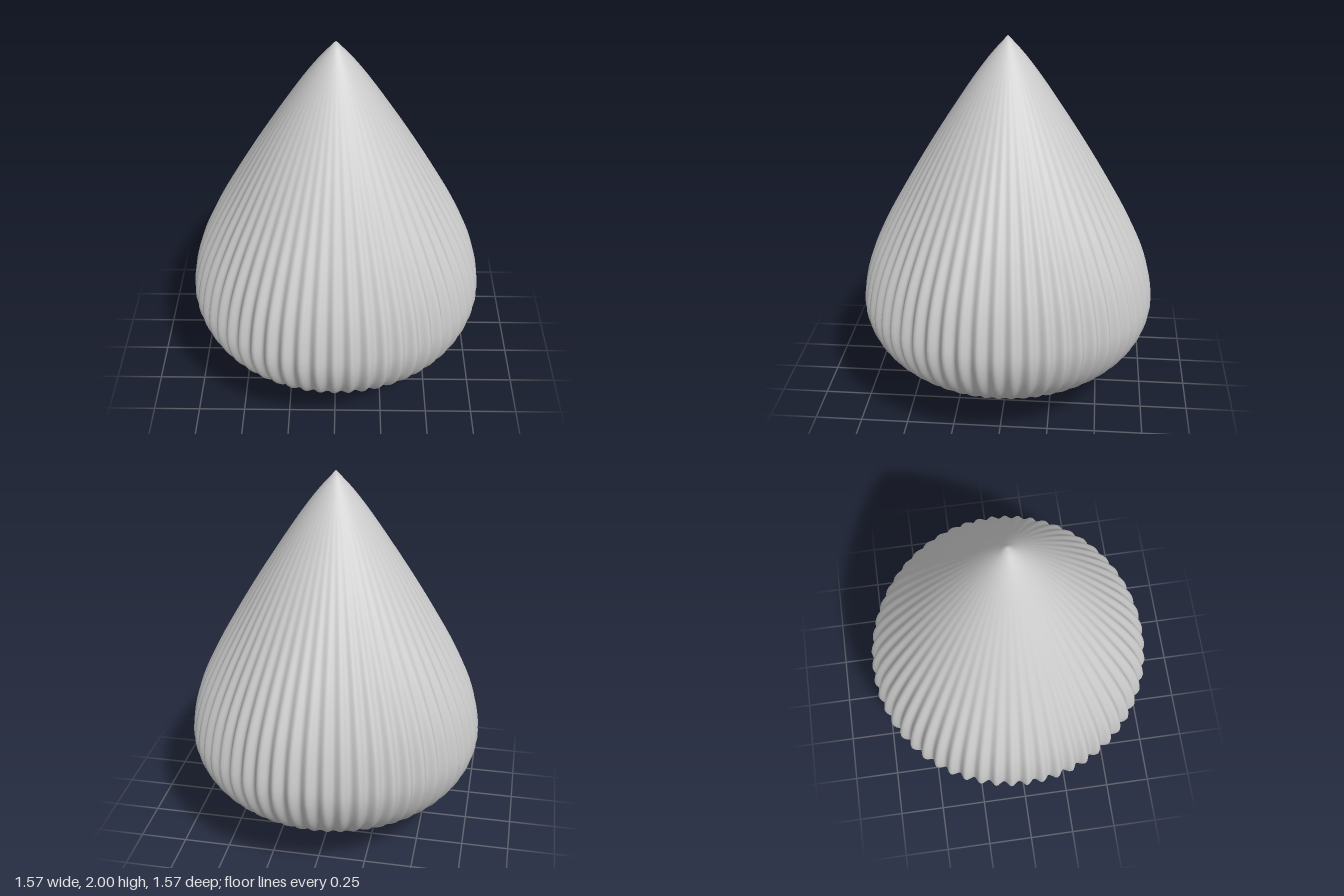
import * as THREE from 'three';

const RIBS = 56;
const SEGMENTS = RIBS * 8;
const ROWS = 56;

// Outline over the rib crests: [radius, height], bottom to top
const PROFILE = [
  [0, 0.005], [0.14, 0.05], [0.29, 0.1], [0.53, 0.2], [0.67, 0.3], [0.745, 0.4], [0.785, 0.53],
  [0.775, 0.66], [0.735, 0.81], [0.65, 1.0], [0.54, 1.2], [0.422, 1.4], [0.296, 1.6],
  [0.163, 1.8], [0.08, 1.91], [0, 2],
];

// Fluted surface of revolution; the flutes fade out towards both tips
function flutedGeometry() {
  const curve = new THREE.CatmullRomCurve3(PROFILE.map(([r, y]) => new THREE.Vector3(r, y, 0)), false, 'centripetal');
  const outline = curve.getSpacedPoints(ROWS);
  const positions = [0, outline[0].y, 0];
  for (let i = 1; i < ROWS; i++) {
    const { x: r, y } = outline[i];
    const depth = 0.015 * Math.pow(r / 0.785, 3);
    for (let j = 0; j < SEGMENTS; j++) {
      const a = (j / SEGMENTS) * Math.PI * 2;
      const radius = r - depth * (1 - Math.cos(a * RIBS));
      positions.push(radius * Math.sin(a), y, radius * Math.cos(a));
    }
  }
  positions.push(0, outline[ROWS].y, 0);

  const top = positions.length / 3 - 1;
  const at = (row, j) => 1 + (row - 1) * SEGMENTS + (j % SEGMENTS);
  const index = [];
  for (let j = 0; j < SEGMENTS; j++) {
    index.push(0, at(1, j + 1), at(1, j));
    for (let i = 1; i < ROWS - 1; i++) {
      const a = at(i, j), b = at(i, j + 1), c = at(i + 1, j + 1), d = at(i + 1, j);
      index.push(a, b, c, a, c, d);
    }
    index.push(at(ROWS - 1, j), at(ROWS - 1, j + 1), top);
  }

  const geometry = new THREE.BufferGeometry();
  geometry.setAttribute('position', new THREE.Float32BufferAttribute(positions, 3));
  geometry.setIndex(index);
  geometry.computeVertexNormals();
  return geometry;
}

export function createModel() {
  const group = new THREE.Group();
  group.name = 'flutedDrop';
  const body = new THREE.Mesh(flutedGeometry(), new THREE.MeshStandardMaterial({ color: 0xcccccc }));
  body.name = 'flutedBody';
  group.add(body);
  return group;
}
